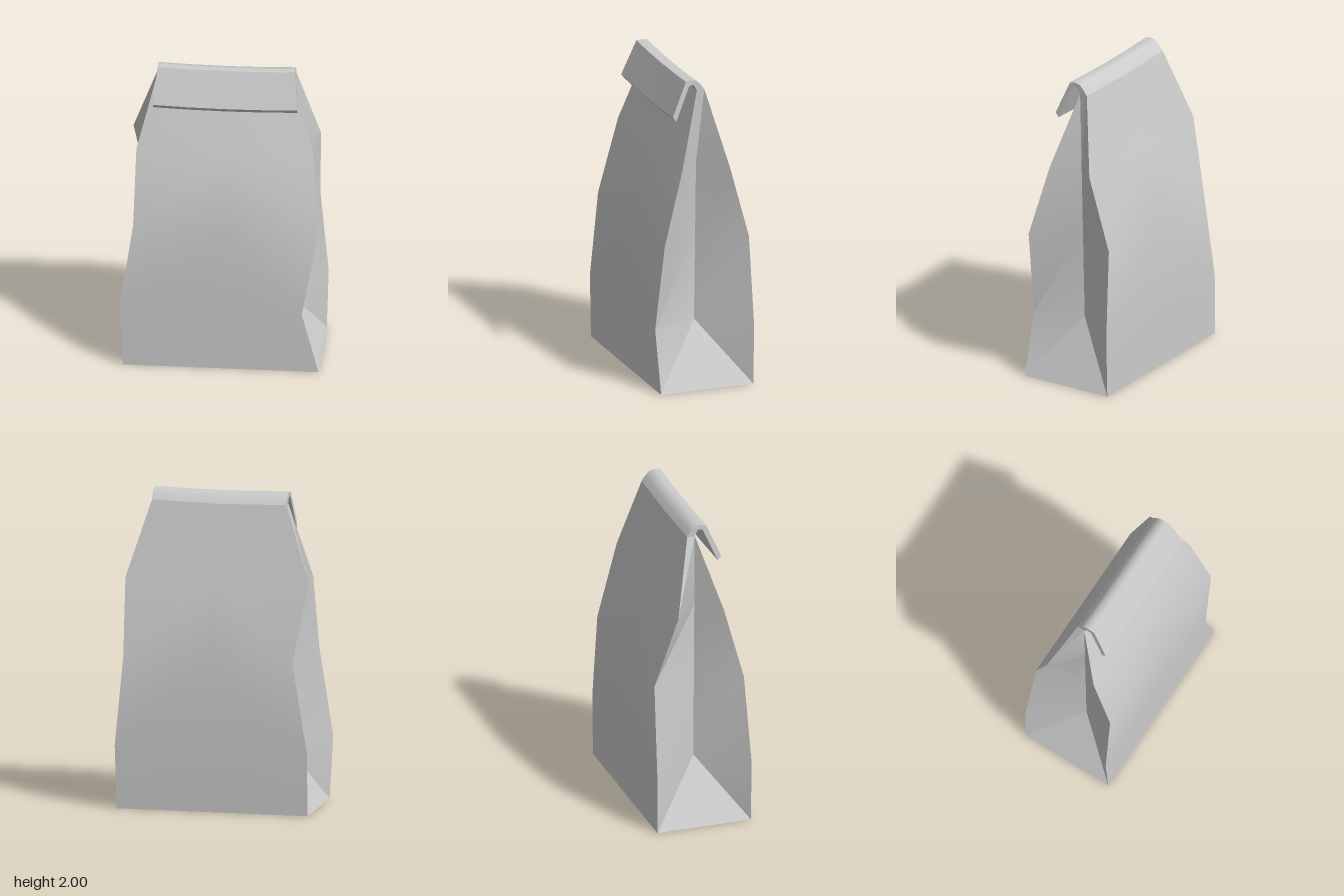
import * as THREE from 'three';
import { toCreasedNormals } from 'three/addons/utils/BufferGeometryUtils.js';

const material = new THREE.MeshStandardMaterial({ color: 0xcccccc, side: THREE.DoubleSide });

function makeMesh(name, points, faces, crease) {
  let geo = new THREE.BufferGeometry();
  geo.setAttribute('position', new THREE.Float32BufferAttribute(points.flat(), 3));
  geo.setIndex(faces.flat());
  if (crease === undefined) geo.computeVertexNormals();
  else geo = toCreasedNormals(geo, crease);
  const mesh = new THREE.Mesh(geo, material);
  mesh.name = name;
  return mesh;
}

// Corner edges of the bag, from the base to the fold
const edges = {
  frontRight: [[-0.61, 0, 0.3], [-0.635, 0.4, 0.297], [-0.55, 0.97, 0.275], [-0.54, 1.45, 0.145], [-0.415, 1.93, -0.005]],
  frontLeft: [[0.62, 0, 0.3], [0.515, 0.4, 0.3], [0.615, 0.97, 0.275], [0.575, 1.45, 0.14], [0.452, 1.93, -0.005]],
  backRight: [[-0.61, 0, -0.32], [-0.605, 0.4, -0.32], [-0.507, 0.97, -0.305], [-0.585, 1.45, -0.173], [-0.415, 1.93, -0.055]],
  backLeft: [[0.62, 0, -0.32], [0.632, 0.4, -0.32], [0.58, 0.97, -0.305], [0.597, 1.45, -0.17], [0.452, 1.93, -0.055]],
};

// Crumpled centre lines of the two wide panels
const frontCentre = [[0, 0, 0.3], [0.03, 0.4, 0.3], [0.03, 0.97, 0.32], [0.06, 1.45, 0.195], [0.02, 1.92, -0.005]];
const backCentre = [[0, 0, -0.32], [0.02, 0.4, -0.32], [0.02, 0.97, -0.305], [0.02, 1.45, -0.168], [0.02, 1.92, -0.055]];

// Wide panel: three columns, smooth, diagonals meeting on the centre line
function widePanel(name, from, centre, to) {
  const points = from.flatMap((p, i) => [p, centre[i], to[i]]);
  const faces = [];
  for (let r = 0; r < 4; r++) {
    const a = r * 3, b = a + 3;
    faces.push([a, a + 1, b + 1], [a, b + 1, b], [a + 1, a + 2, b + 1], [a + 2, b + 2, b + 1]);
  }
  return makeMesh(name, points, faces);
}

// Side gusset: a base triangle below two halves folded in along a crease
function gusset(name, near, far, creaseX) {
  const top = [near[4][0], 1.93, -0.005];
  const apex = [creaseX, 0.4, -0.005];
  const crease = [0.4, 0.97, 1.45, 1.93].map((y) =>
    new THREE.Vector3(...apex).lerp(new THREE.Vector3(...top), (y - 0.4) / 1.53).toArray());
  const points = [...near, ...far, ...crease];
  const faces = [[0, 5, 10], [0, 10, 1], [5, 6, 10]];
  for (let i = 1; i < 4; i++) {
    const c = 9 + i;
    faces.push([i, c, c + 1], [i, c + 1, i + 1], [c, i + 5, i + 6], [c, i + 6, c + 1]);
  }
  return makeMesh(name, points, faces, 0.35);
}

// Rolled top: a hooked strip section swept across the width
function foldedTop() {
  const profile = [[-0.055, 1.93], [-0.03, 1.965], [0, 1.995], [0.035, 2], [0.07, 1.995], [0.165, 1.775],
    [0.142, 1.747], [0.048, 1.965], [0.02, 1.97], [-0.005, 1.93]];
  const n = profile.length;
  const columns = [-1, -0.5, 0, 0.5, 1];
  const points = columns.flatMap((u) => profile.map(([z, y]) => {
    const half = z > 0.03 ? 0.433 + (2 - y) * 0.09 : 0.433;
    return [0.02 + u * half, y - 0.01 * (1 - u * u), z];
  }));
  const faces = [];
  for (let c = 0; c < columns.length - 1; c++) {
    for (let i = 0; i < n - 1; i++) {
      const a = c * n + i, b = a + n;
      faces.push([a, a + 1, b + 1], [a, b + 1, b]);
    }
  }
  // End caps
  const caps = THREE.ShapeUtils.triangulateShape(profile.map(([z, y]) => new THREE.Vector2(z, y)), []);
  const last = (columns.length - 1) * n;
  for (const [a, b, c] of caps) faces.push([a, b, c], [last + a, last + c, last + b]);
  return makeMesh('foldedTop', points, faces, 0.9);
}

export function createModel() {
  const group = new THREE.Group();
  group.name = 'paperBag';
  const { frontRight, frontLeft, backRight, backLeft } = edges;
  group.add(
    widePanel('frontPanel', frontRight, frontCentre, frontLeft),
    widePanel('backPanel', backLeft, backCentre, backRight),
    gusset('leftGusset', frontLeft, backLeft, 0.4),
    gusset('rightGusset', backRight, frontRight, -0.39),
    makeMesh('base', [frontRight[0], backRight[0], backLeft[0], frontLeft[0]], [[0, 1, 2], [0, 2, 3]]),
    foldedTop(),
  );
  return group;
}
